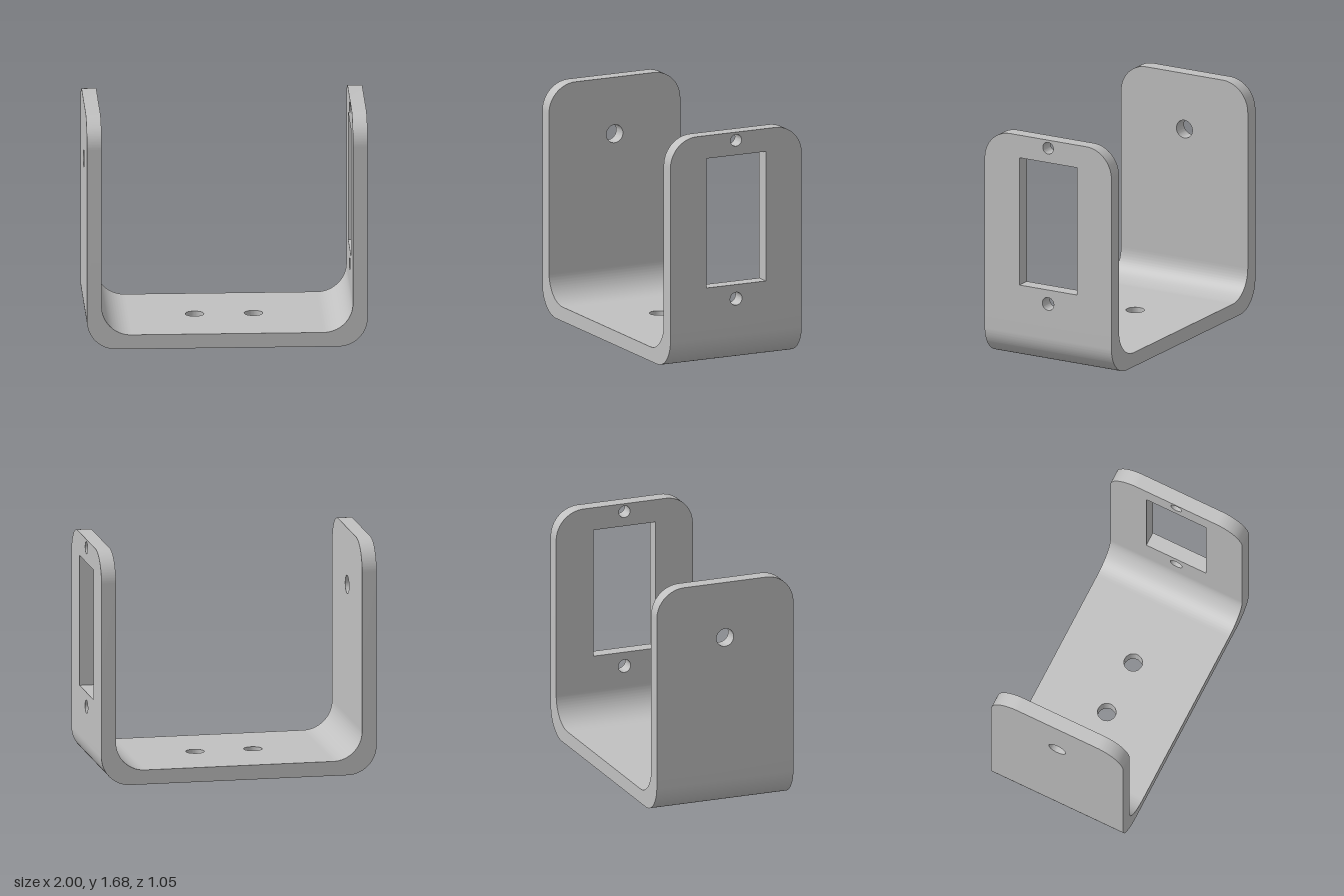
import * as THREE from 'three';
import { toCreasedNormals } from 'three/addons/utils/BufferGeometryUtils.js';

const T = 0.105;      // plate thickness
const R = 0.21;       // bend and corner radius
const HEIGHT = 1.685;
const HALF_DEPTH = 0.525;
const BEND = T + R;   // size of the bent corner
const INNER = 1 - BEND;

function hole(x, y, r) {
  const path = new THREE.Path();
  path.absarc(x, y, r, 0, Math.PI * 2, true);
  return path;
}

function rectangle(target, x0, y0, x1, y1) {
  target.moveTo(x0, y0);
  target.lineTo(x1, y0);
  target.lineTo(x1, y1);
  target.lineTo(x0, y1);
  target.closePath();
  return target;
}

function extrude(shape, depth) {
  const geometry = new THREE.ExtrudeGeometry(shape, { depth, bevelEnabled: false, curveSegments: 24 });
  return toCreasedNormals(geometry, 0.6);
}

// Upright plate with two rounded top corners
function wallGeometry(holes) {
  const s = new THREE.Shape();
  s.moveTo(-HALF_DEPTH, BEND);
  s.lineTo(HALF_DEPTH, BEND);
  s.lineTo(HALF_DEPTH, HEIGHT - R);
  s.absarc(HALF_DEPTH - R, HEIGHT - R, R, 0, Math.PI / 2, false);
  s.lineTo(R - HALF_DEPTH, HEIGHT);
  s.absarc(R - HALF_DEPTH, HEIGHT - R, R, Math.PI / 2, Math.PI, false);
  s.closePath();
  s.holes.push(...holes);
  return extrude(s, T).rotateY(Math.PI / 2);
}

// Curved corner joining the base to a wall
function bendGeometry() {
  const s = new THREE.Shape();
  s.moveTo(INNER, 0);
  s.lineTo(1 - R, 0);
  s.absarc(1 - R, R, R, -Math.PI / 2, 0, false);
  s.lineTo(1, BEND);
  s.lineTo(1 - T, BEND);
  s.absarc(INNER, BEND, R, 0, -Math.PI / 2, true);
  s.closePath();
  return extrude(s, HALF_DEPTH * 2).translate(0, 0, -HALF_DEPTH);
}

export function createModel() {
  const group = new THREE.Group();
  group.name = 'bracket';
  const grey = new THREE.MeshStandardMaterial({ color: 0xc0c0c0 });
  grey.name = 'light grey';

  const add = (name, geometry) => {
    const mesh = new THREE.Mesh(geometry, grey);
    mesh.name = name;
    group.add(mesh);
    return mesh;
  };

  // Base plate with two mounting holes
  const base = rectangle(new THREE.Shape(), -INNER, -HALF_DEPTH, INNER, HALF_DEPTH);
  base.holes.push(hole(-0.21, 0, 0.066), hole(0.21, 0, 0.066));
  add('basePlate', extrude(base, T).rotateX(-Math.PI / 2));

  // Bent corners
  add('leftBend', bendGeometry());
  add('rightBend', bendGeometry()).rotation.y = Math.PI;

  // Left wall: rectangular window with a screw hole above and below
  const windowHole = rectangle(new THREE.Path(), -0.238, 0.57, 0.238, 1.517);
  const left = wallGeometry([windowHole, hole(0, 1.625, 0.0435), hole(0, 0.466, 0.0475)]);
  add('leftWall', left).position.x = 1 - T;

  // Right wall: single pivot hole
  add('rightWall', wallGeometry([hole(0, 1.271, 0.066)])).position.x = -1;

  return group;
}
